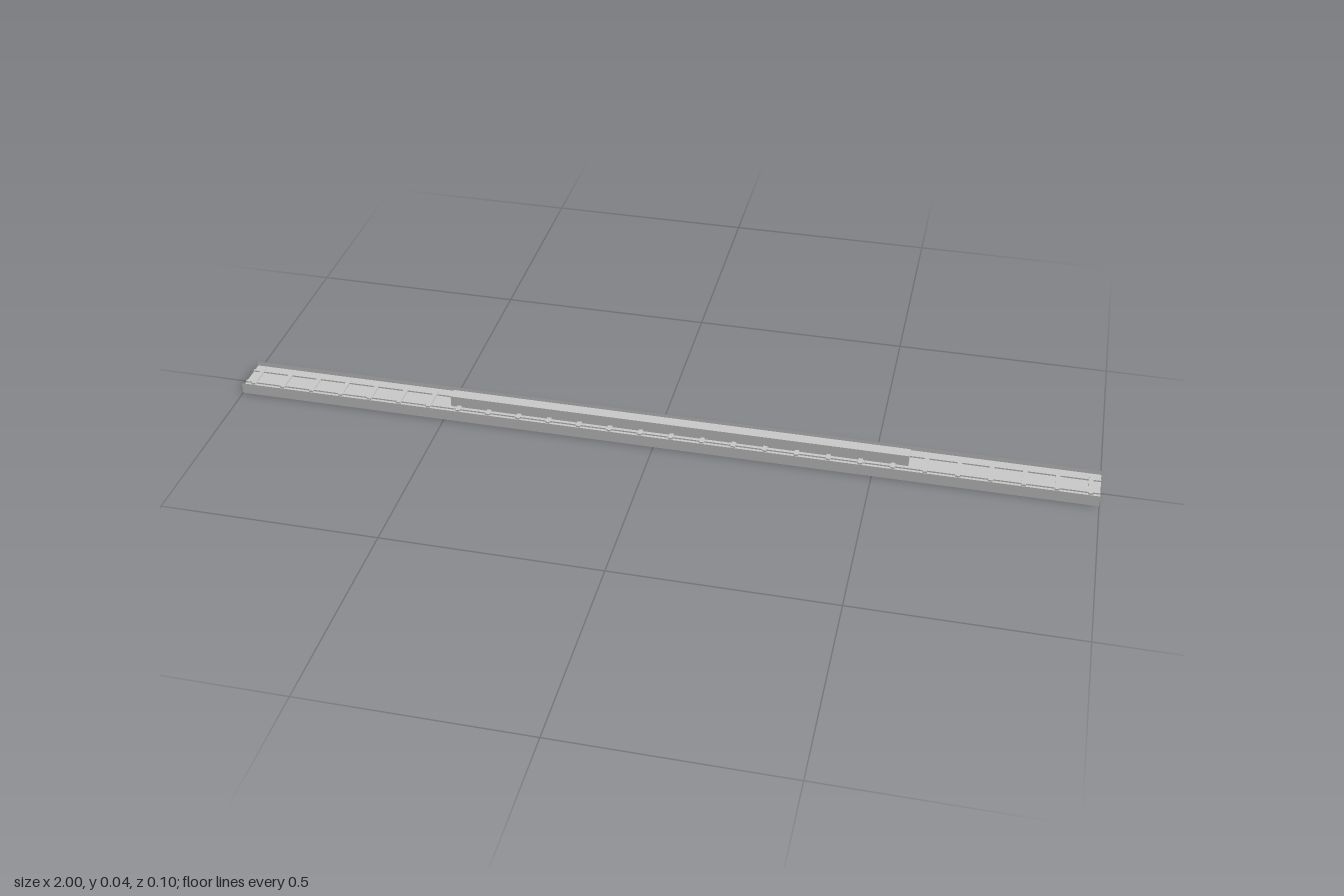
import * as THREE from 'three';

const grey = new THREE.MeshStandardMaterial({ color: 0xcccccc, flatShading: true });
const sheet = new THREE.MeshStandardMaterial({ color: 0xcccccc, flatShading: true, side: THREE.DoubleSide });

export function createModel() {
  const model = new THREE.Group();

  function add(parent, name, geometry, material, x, y, z) {
    const mesh = new THREE.Mesh(geometry, material);
    mesh.name = name;
    mesh.position.set(x, y, z);
    parent.add(mesh);
    return mesh;
  }

  // Box given by its bottom and top heights
  function box(parent, name, x, z, width, depth, bottom, top) {
    const geometry = new THREE.BoxGeometry(width, top - bottom, depth);
    return add(parent, name, geometry, grey, x, (bottom + top) / 2, z);
  }

  const halfWidth = 0.048, deckY = 0.016, wallTop = 0.027;

  // Thin deck between two side walls, open at both ends
  const deck = add(model, 'deck', new THREE.PlaneGeometry(2, halfWidth * 2), sheet, 0, deckY, 0);
  deck.rotation.x = -Math.PI / 2;
  for (const side of [-1, 1]) {
    add(model, side > 0 ? 'frontWall' : 'backWall',
      new THREE.PlaneGeometry(2, wallTop), sheet, 0, wallTop / 2, side * halfWidth);
  }

  // Two rails running the full length
  for (const side of [-1, 1]) {
    box(model, side > 0 ? 'frontRail' : 'backRail', 0, side * 0.0235, 2, 0.006, deckY, 0.0195);
  }

  // Evenly spaced cross ties
  const ties = new THREE.Group();
  ties.name = 'crossTies';
  for (let i = 0; i < 28; i++) {
    box(ties, 'crossTie', (i - 13.5) * 0.0725, 0, 0.01, 0.063, deckY, 0.02);
  }
  model.add(ties);

  // Long raised block on the centre line
  box(model, 'centreBlock', 0.043, 0, 1.07, 0.0275, deckY, 0.043);

  return model;
}
